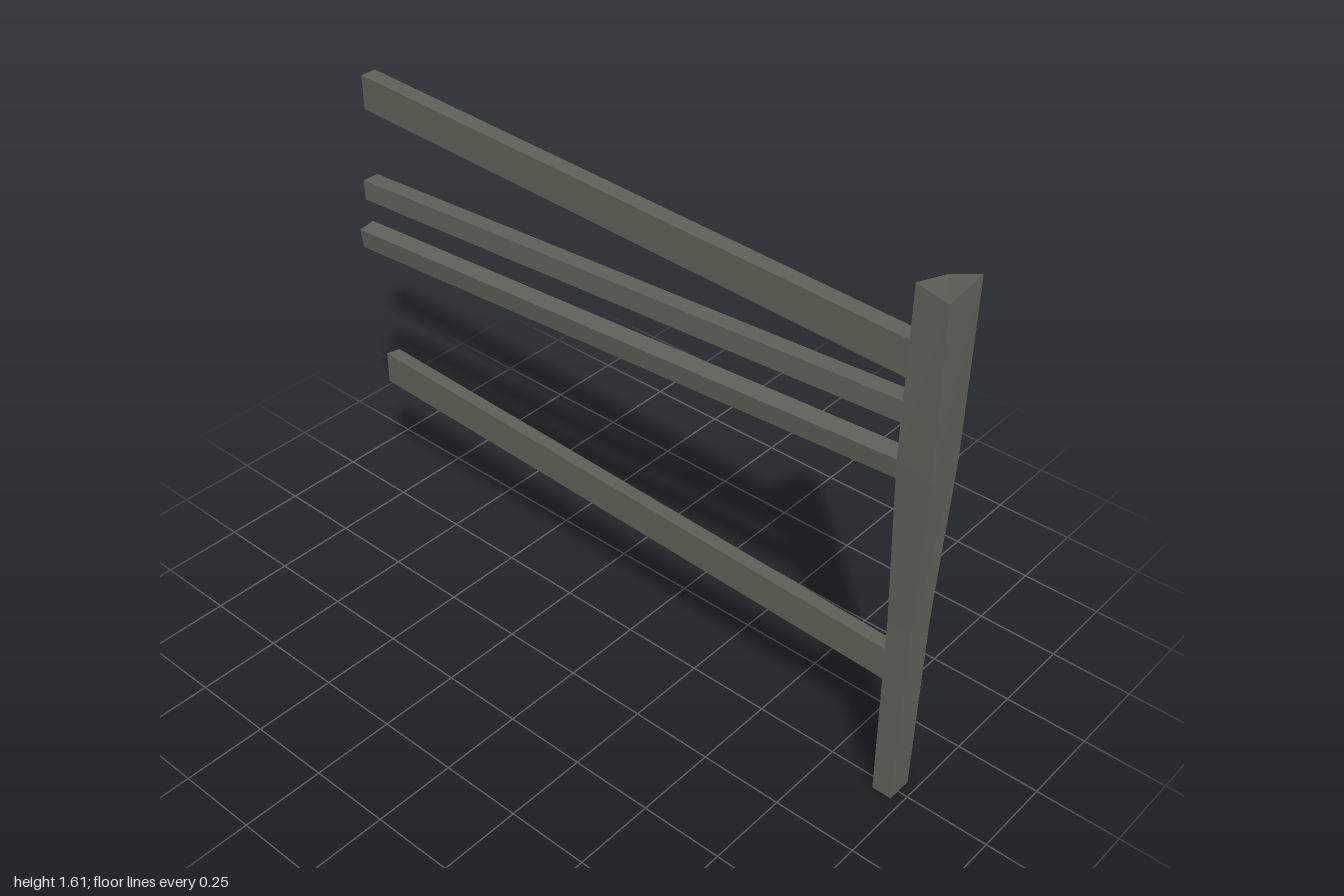
import * as THREE from 'three';

const wood = new THREE.MeshStandardMaterial({ color: 0x5e6057, flatShading: true });
wood.name = 'weathered wood';

// Joins four-cornered rings into a closed beam. Corners run counter-clockwise
// when seen from the last ring's end.
function loft(name, rings) {
  const pos = [];
  const quad = (a, b, c, d) => pos.push(...a, ...b, ...c, ...a, ...c, ...d);
  for (let i = 0; i < rings.length - 1; i++) {
    for (let k = 0; k < 4; k++) {
      const n = (k + 1) % 4;
      quad(rings[i][k], rings[i][n], rings[i + 1][n], rings[i + 1][k]);
    }
  }
  const [a, b, c, d] = rings[0];
  quad(d, c, b, a);
  quad(...rings[rings.length - 1]);
  const geo = new THREE.BufferGeometry();
  geo.setAttribute('position', new THREE.Float32BufferAttribute(pos, 3));
  geo.computeVertexNormals();
  const mesh = new THREE.Mesh(geo, wood);
  mesh.name = name;
  return mesh;
}

// Rail end section: bottom height, top height, back z, front z, rise of the back
// edge and lean of the bottom edge
function railEnd(x, bottom, top, back, front, roll, lean) {
  return [
    [x, bottom, front - lean],
    [x, bottom + roll, back - lean],
    [x, top + roll, back],
    [x, top, front],
  ];
}

export function createModel() {
  const group = new THREE.Group();
  group.name = 'fence section';

  // Post: rough-hewn, tapering to the foot, with a skewed, valley-shaped top
  group.add(loft('post', [
    [[0.91, 0, 0.035], [0.97, 0, 0.035], [0.97, 0, -0.045], [0.91, 0, -0.045]],
    [[0.905, 0.6, 0.042], [0.975, 0.6, 0.042], [0.977, 0.6, -0.042], [0.905, 0.6, -0.05]],
    [[0.893, 1.12, 0.06], [0.997, 1.1, 0.062], [0.987, 1.1, -0.064], [0.893, 1.12, -0.071]],
    [[0.893, 1.605, 0.058], [0.985, 1.585, 0.058], [0.985, 1.605, -0.072], [0.893, 1.567, -0.072]],
  ].map(([a, b, c, d]) => [b, c, d, a]))); // start at a low corner so the top folds between low corners

  // Rails: [name, left end, right end, roll, lean]; ends are bottom, top, back z, front z
  const rails = [
    ['topRail', [1.39, 1.495, -0.035, 0.015], [1.315, 1.42, -0.035, 0.015], 0, 0],
    ['upperMiddleRail', [1.11, 1.173, -0.01, 0.042], [1.17, 1.233, -0.062, -0.01], 0, 0],
    ['lowerMiddleRail', [0.96, 1.022, 0.022, 0.073], [1.02, 1.082, -0.036, 0.015], 0.008, 0.008],
    ['bottomRail', [0.453, 0.556, -0.035, 0.015], [0.378, 0.481, -0.035, 0.015], -0.008, 0],
  ];
  for (const [name, l, r, roll, lean] of rails) {
    group.add(loft(name, [railEnd(-1, ...l, roll, lean), railEnd(0.91, ...r, roll, lean)]));
  }
  return group;
}
